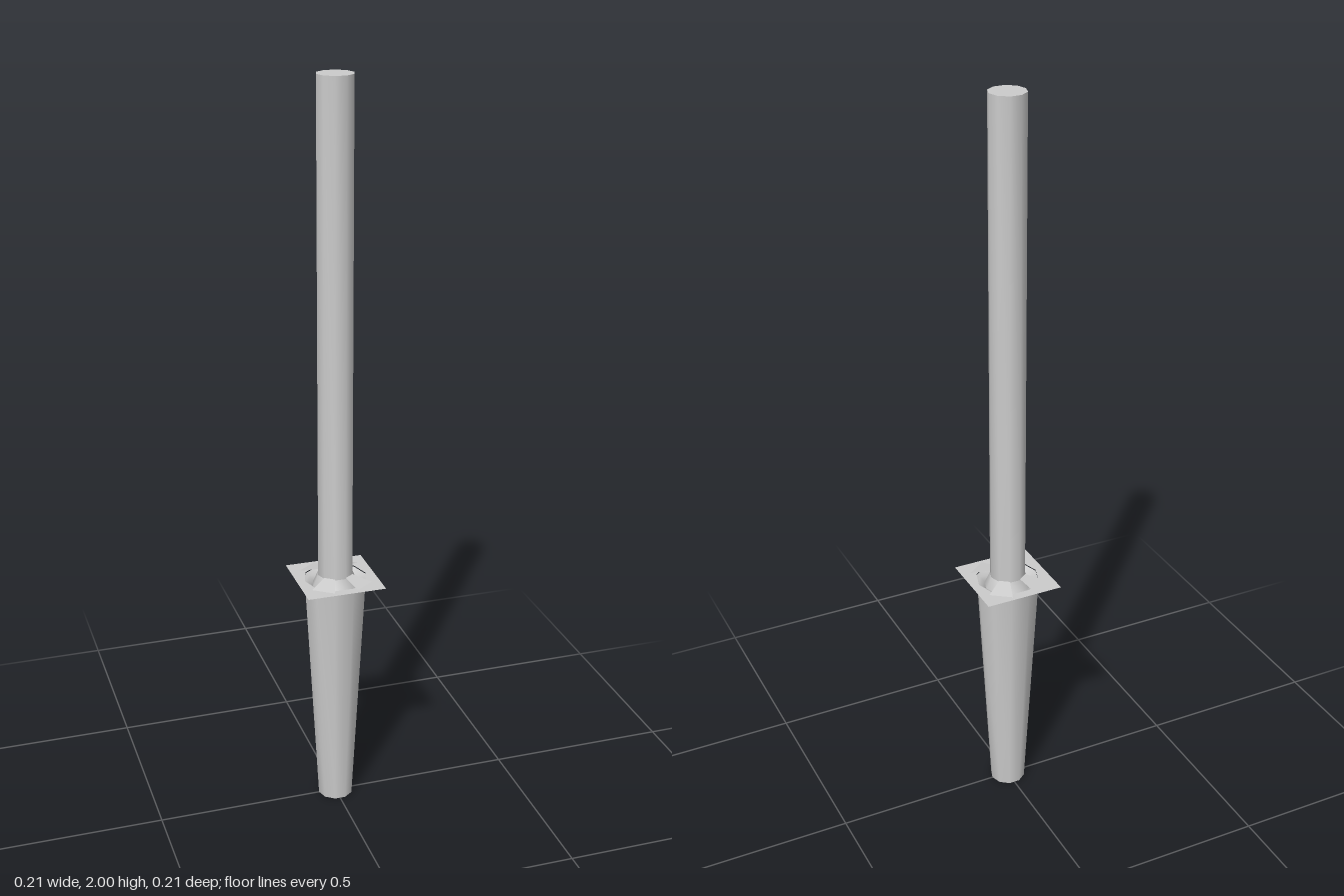
import * as THREE from 'three';
import { toCreasedNormals } from 'three/addons/utils/BufferGeometryUtils.js';

const SIDES = 10;
const material = new THREE.MeshStandardMaterial({ color: 0xcccccc, side: THREE.DoubleSide });

function add(group, name, geometry) {
  const mesh = new THREE.Mesh(geometry, material);
  mesh.name = name;
  group.add(mesh);
  return mesh;
}

// Ten-sided turned part, rounded around its axis but sharp at its rims
function turned(points) {
  const profile = points.map(([r, y]) => new THREE.Vector2(r, y));
  return toCreasedNormals(new THREE.LatheGeometry(profile, SIDES, Math.PI / 2), 0.7);
}

function ring(radius) {
  return Array.from({ length: SIDES }, (_, i) => {
    const a = (i / SIDES) * Math.PI * 2;
    return new THREE.Vector2(radius * Math.cos(a), radius * Math.sin(a));
  });
}

export function createModel() {
  const group = new THREE.Group();

  // Tapered ground sleeve with a closed foot
  add(group, 'sleeve', turned([[0, 0], [0.048, 0], [0.085, 0.667]]));

  // Recessed shoulder between the sleeve rim and the pole
  add(group, 'shoulder', turned([[0.085, 0.667], [0.075, 0.663], [0.063, 0.648], [0.048, 0.683]]));

  // Long pole with a closed top
  add(group, 'pole', turned([[0.048, 0.683], [0.048, 2], [0, 2]]));

  // Thin square plate around the sleeve rim
  const s = 0.107;
  const square = new THREE.Shape([[-s, -s], [s, -s], [s, s], [-s, s]].map(([x, y]) => new THREE.Vector2(x, y)));
  square.holes.push(new THREE.Path(ring(0.085).reverse()));
  const plate = new THREE.ShapeGeometry(square);
  plate.rotateX(-Math.PI / 2).translate(0, 0.67, 0);
  add(group, 'groundPlate', plate);

  // Four sloping webs joining the pole to the plate at its corners
  const inner = ring(0.048), outer = ring(0.102);
  for (const i of [1, 3, 6, 8]) {
    const a = inner[i], b = outer[i], c = outer[i + 1], d = inner[i + 1];
    const web = new THREE.BufferGeometry();
    web.setAttribute('position', new THREE.Float32BufferAttribute([
      a.x, 0.686, -a.y, b.x, 0.672, -b.y, c.x, 0.672, -c.y, d.x, 0.686, -d.y,
    ], 3));
    web.setIndex([0, 1, 2, 0, 2, 3]);
    web.computeVertexNormals();
    add(group, 'web', web);
  }
  return group;
}
